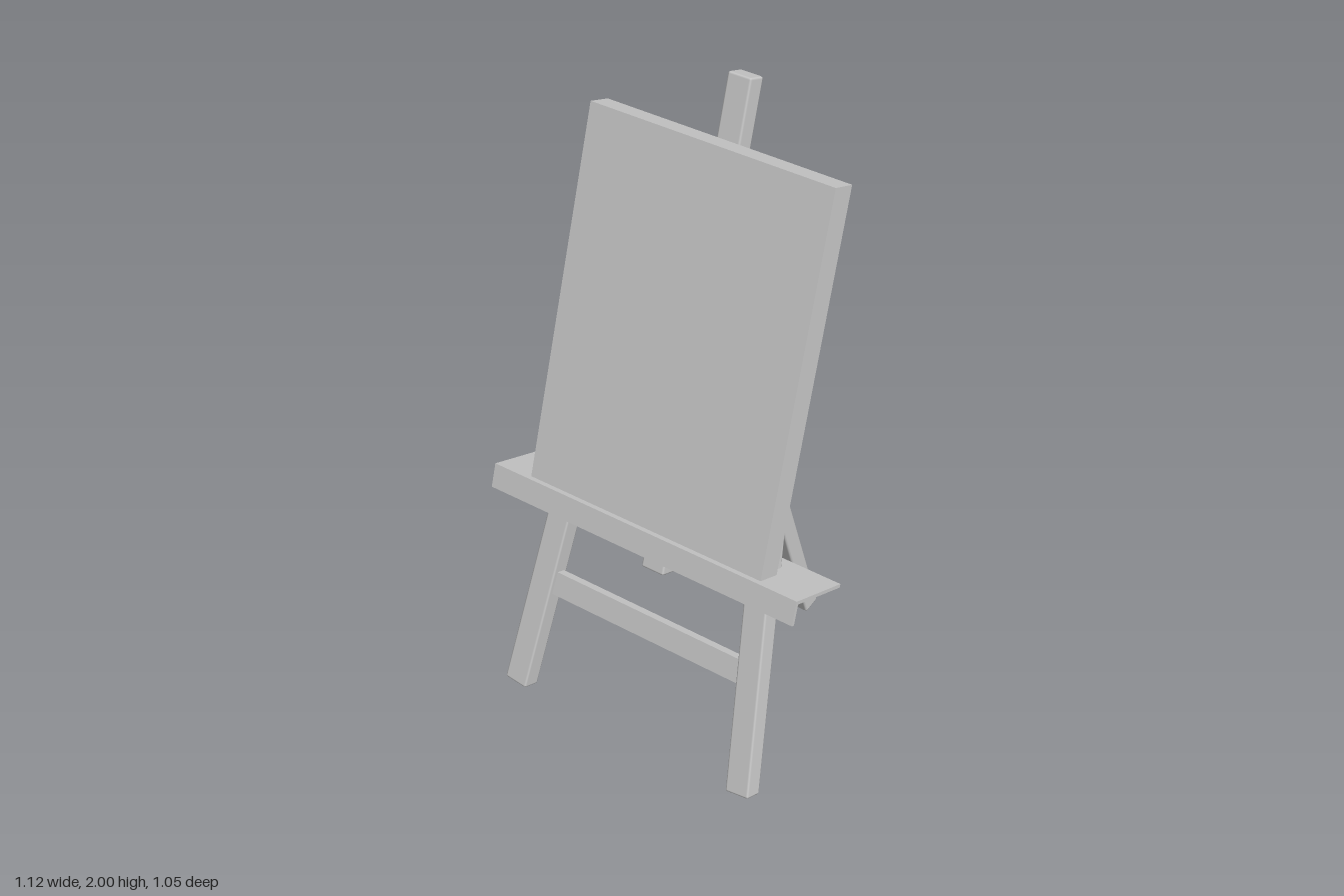
import * as THREE from 'three';
import { RoundedBoxGeometry } from 'three/addons/geometries/RoundedBoxGeometry.js';

export function createModel() {
  const grey = new THREE.MeshStandardMaterial({ color: 0xc8c8c8 });
  grey.name = 'lightGrey';

  const model = new THREE.Group();
  model.name = 'easel';
  model.rotation.y = -0.398;

  // Plain box given by its limits on each axis
  function box(name, parent, x0, x1, y0, y1, z0, z1) {
    const mesh = new THREE.Mesh(new THREE.BoxGeometry(x1 - x0, y1 - y0, z1 - z0), grey);
    mesh.position.set((x0 + x1) / 2, (y0 + y1) / 2, (z0 + z1) / 2);
    mesh.name = name;
    parent.add(mesh);
  }

  // Timber with slightly softened edges running from one point to another
  function beam(name, parent, from, to, width, depth) {
    const a = new THREE.Vector3(...from), b = new THREE.Vector3(...to);
    const dir = b.clone().sub(a);
    const mesh = new THREE.Mesh(new RoundedBoxGeometry(width, dir.length(), depth, 1, 0.007), grey);
    mesh.position.copy(a).add(b).multiplyScalar(0.5);
    mesh.quaternion.setFromUnitVectors(new THREE.Vector3(0, 1, 0), dir.normalize());
    mesh.name = name;
    parent.add(mesh);
  }

  // Front frame leans back; z = 0 here is the rear plane of the canvas
  const frame = new THREE.Group();
  frame.name = 'leaningFrame';
  frame.position.set(0.067, 0, 0.357);
  frame.rotation.x = -0.264;
  model.add(frame);

  box('canvas', frame, -0.433, 0.423, 0.724, 1.88, 0, 0.078);

  // Tray: a thin shelf with a lip turned down at the front
  box('trayShelf', frame, -0.557, 0.565, 0.713, 0.724, -0.117, 0.1);
  box('trayLip', frame, -0.557, 0.565, 0.648, 0.713, 0.09, 0.1);

  // Splayed front legs, centre mast and crossbar
  for (const [side, name] of [[1, 'leftLeg'], [-1, 'rightLeg']]) {
    beam(name, frame, [side * 0.43, 0.018, -0.03], [side * 0.255, 1.742, -0.03], 0.082, 0.06);
  }
  beam('mast', frame, [0, 0.566, -0.03], [0, 2.07, -0.03], 0.082, 0.06);
  box('crossbar', frame, -0.365, 0.365, 0.345, 0.42, -0.045, -0.015);

  // Rear prop leg
  beam('rearLeg', model, [0.067, 0.01, -0.55], [0.067, 1.31, -0.085], 0.082, 0.06);

  const root = new THREE.Group();
  root.add(model);
  return root;
}
